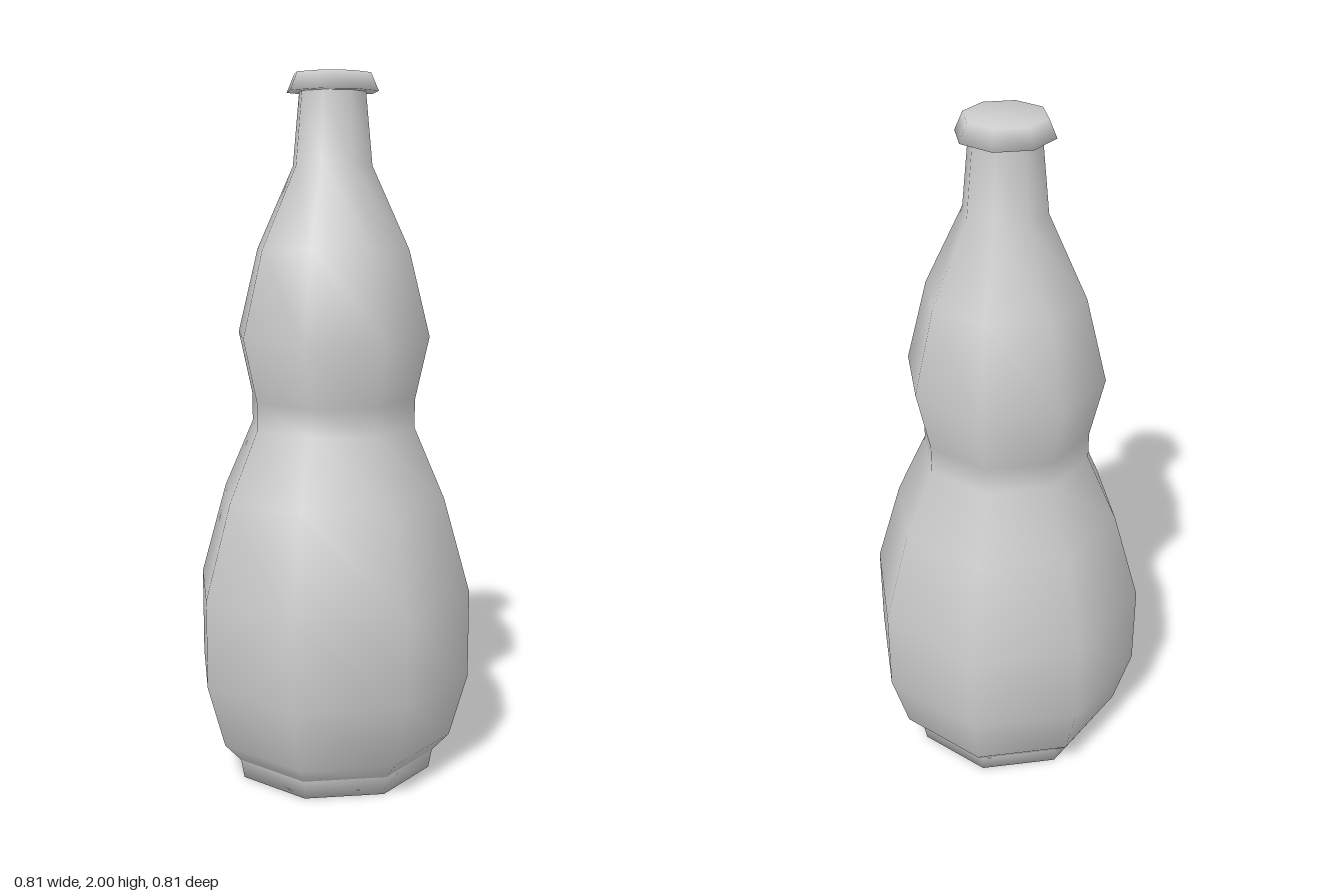
import * as THREE from 'three';

const SIDES = 8;

// Smooth-shaded eight-sided turned part from [radius, height] pairs, bottom to top
function turned(name, profile) {
  const points = profile.map(([r, y]) => new THREE.Vector2(r, y));
  const material = new THREE.MeshStandardMaterial({ color: 0xcccccc });
  const mesh = new THREE.Mesh(new THREE.LatheGeometry(points, SIDES), material);
  mesh.name = name;
  return mesh;
}

export function createModel() {
  const bottle = new THREE.Group();
  bottle.name = 'bottle';

  // Foot ring with closed underside
  bottle.add(turned('foot', [[0, 0], [0.295, 0], [0.305, 0.055]]));

  // Double-bulged body rising into the neck
  bottle.add(turned('body', [
    [0.305, 0.055], [0.355, 0.11], [0.407, 0.295], [0.407, 0.55],
    [0.33, 0.82], [0.242, 1.02], [0.242, 1.1], [0.282, 1.28],
    [0.222, 1.52], [0.115, 1.75], [0.096, 1.95],
  ]));

  // Flared cap
  bottle.add(turned('cap', [[0.09, 1.95], [0.132, 1.95], [0.11, 2], [0, 2]]));

  return bottle;
}
